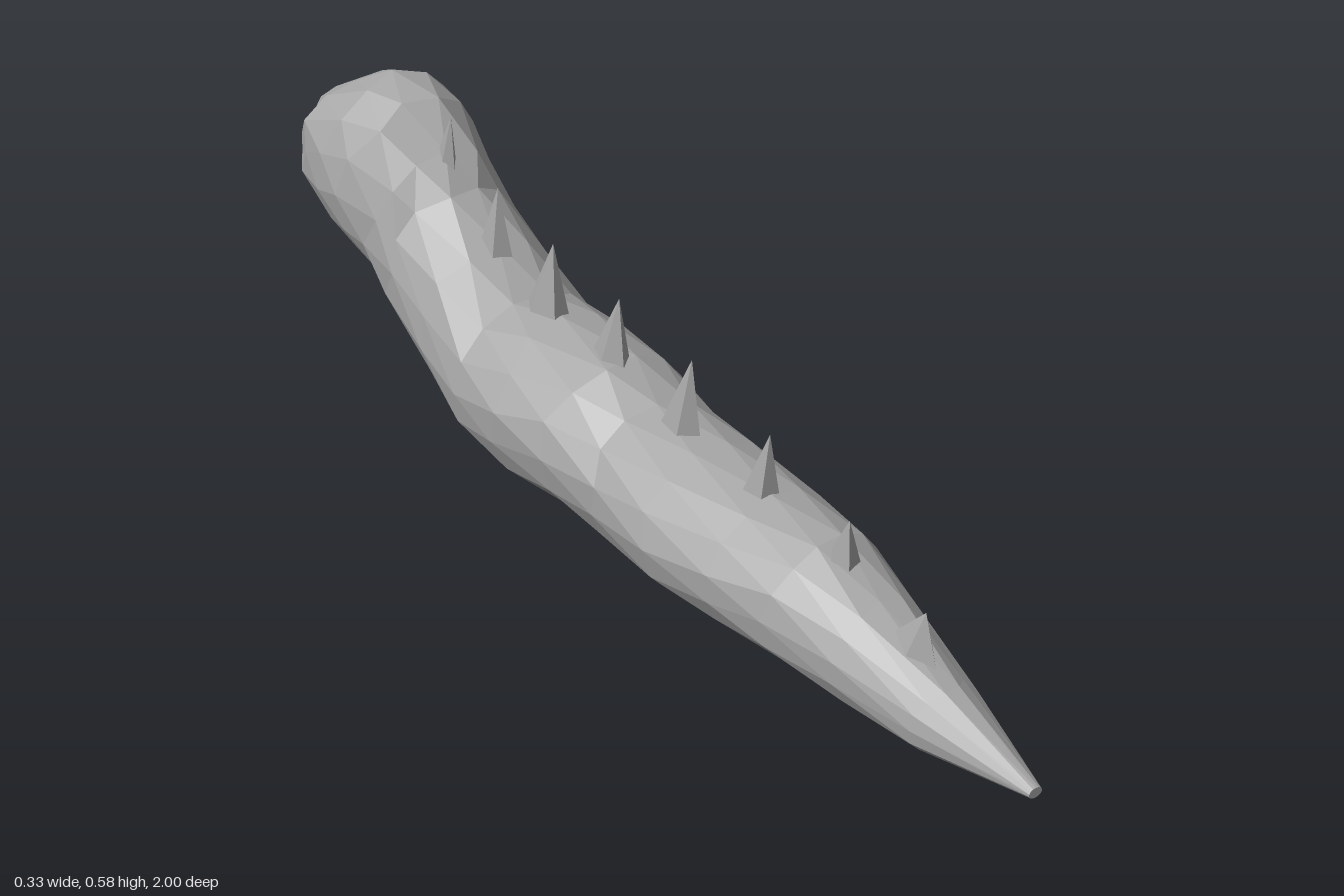
import * as THREE from 'three';

export function createModel() {
  const model = new THREE.Group();
  const grey = new THREE.MeshStandardMaterial({ color: 0xa8a8a8, flatShading: true });
  grey.name = 'stone grey';

  // Small seeded noise for hand-sculpted facets
  let seed = 7;
  const noise = () => ((seed = (seed * 16807) % 2147483647) / 2147483647) - 0.5;

  // Tilted rings, tail to head: top z, top y, bottom z, bottom y, half width
  const rings = [
    [1.0, 0.062, 1.0, 0.044, 0.013],
    [0.8, 0.13, 0.79, 0.01, 0.068],
    [0.64, 0.195, 0.64, 0.01, 0.098],
    [0.5, 0.245, 0.5, 0.012, 0.122],
    [0.36, 0.252, 0.36, 0.012, 0.142],
    [0.2, 0.265, 0.22, 0.003, 0.15],
    [0.06, 0.275, 0.06, 0.012, 0.143],
    [-0.05, 0.312, -0.08, 0.018, 0.152],
    [-0.2, 0.32, -0.2, 0.012, 0.166],
    [-0.31, 0.317, -0.35, 0.028, 0.158],
    [-0.41, 0.38, -0.49, 0.08, 0.14],
    [-0.52, 0.44, -0.6, 0.165, 0.135],
    [-0.56, 0.495, -0.67, 0.213, 0.137],
    [-0.64, 0.568, -0.75, 0.228, 0.146],
    [-0.73, 0.59, -0.81, 0.243, 0.143],
    [-0.82, 0.555, -0.88, 0.295, 0.13],
    [-0.92, 0.485, -0.95, 0.32, 0.085],
    [-0.98, 0.435, -0.98, 0.35, 0.045],
  ];
  const sides = 14;
  const positions = [];
  const index = [];
  rings.forEach(([tz, ty, bz, by, w], r) => {
    for (let i = 0; i < sides; i++) {
      const a = ((i + (r % 2) * 0.5) / sides) * Math.PI * 2;
      const c = Math.cos(a);
      const k = 1 + noise() * 0.05;
      positions.push(
        Math.sin(a) * w * k,
        (ty + by) / 2 + (c * (ty - by)) / 2,
        (tz + bz) / 2 + (c * (tz - bz)) / 2 + (r ? noise() * 0.03 : 0)
      );
    }
  });
  for (let r = 0; r < rings.length - 1; r++) {
    for (let i = 0; i < sides; i++) {
      const j = (i + 1) % sides;
      const a = r * sides + i, b = r * sides + j;
      const c = a + sides, d = b + sides;
      // Staggered rings: pick the shorter diagonal
      if (r % 2) index.push(a, d, b, a, c, d);
      else index.push(a, c, b, b, c, d);
    }
  }
  // Close the tail tip and the snout
  const last = (rings.length - 1) * sides;
  const tail = positions.length / 3;
  positions.push(0, 0.052, 1.0, 0, 0.4, -1.0);
  for (let i = 0; i < sides; i++) {
    const j = (i + 1) % sides;
    index.push(tail, i, j, tail + 1, last + j, last + i);
  }
  // Orient faces outward
  for (let t = 0; t < index.length; t += 3) {
    [index[t + 1], index[t + 2]] = [index[t + 2], index[t + 1]];
  }
  const bodyGeo = new THREE.BufferGeometry();
  bodyGeo.setAttribute('position', new THREE.Float32BufferAttribute(positions, 3));
  bodyGeo.setIndex(index);
  bodyGeo.computeVertexNormals();
  const body = new THREE.Mesh(bodyGeo, grey);
  body.name = 'body';
  model.add(body);

  // Back spikes: tip z, tip y, base front z, base back z, base y
  const spikes = [
    [0.74, 0.232, 0.77, 0.64, 0.14],
    [0.555, 0.302, 0.575, 0.5, 0.2],
    [0.355, 0.36, 0.37, 0.29, 0.23],
    [0.15, 0.402, 0.17, 0.07, 0.245],
    [-0.05, 0.427, -0.025, -0.135, 0.27],
    [-0.24, 0.45, -0.205, -0.325, 0.29],
    [-0.405, 0.49, -0.375, -0.46, 0.345],
    [-0.548, 0.57, -0.54, -0.61, 0.44],
  ];
  spikes.forEach(([tz, ty, fz, bz, by], n) => {
    const height = ty - by;
    const mid = (fz + bz) / 2;
    const geo = new THREE.ConeGeometry(1, height, 5, 1);
    geo.rotateY(n * 0.9);
    geo.scale(n === 7 ? 0.022 : 0.034, 1, (fz - bz) / 2);
    // Lean the tip over the base
    const p = geo.attributes.position;
    for (let i = 0; i < p.count; i++) {
      p.setZ(i, p.getZ(i) + (tz - mid) * (p.getY(i) / height + 0.5));
    }
    geo.computeVertexNormals();
    const spike = new THREE.Mesh(geo, grey);
    spike.name = 'backSpike' + (n + 1);
    spike.position.set(0, by + height / 2, mid);
    model.add(spike);
  });

  return model;
}
